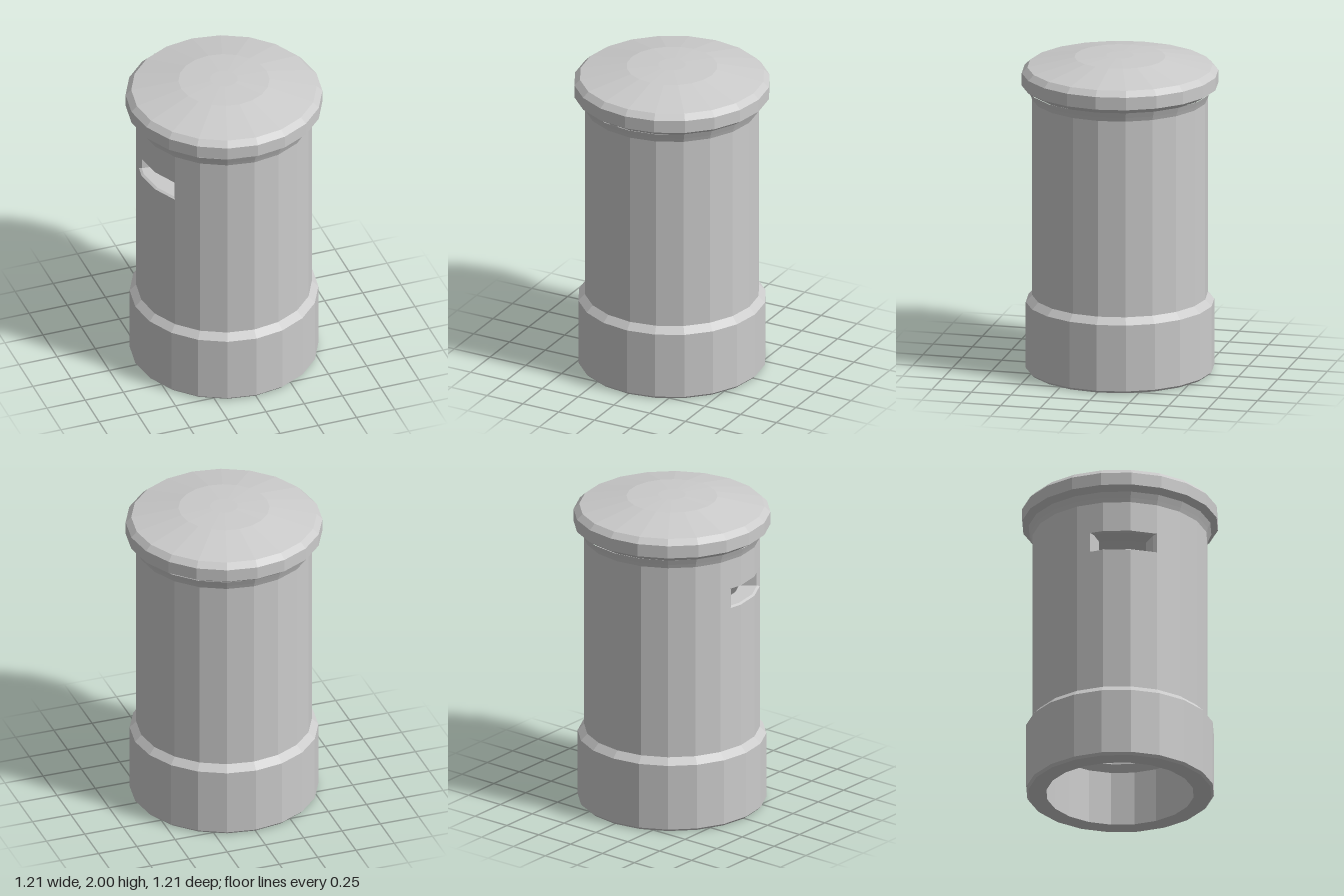
import * as THREE from 'three';

const SIDES = 20;
const STEP = 360 / SIDES;
const material = new THREE.MeshStandardMaterial({ color: 0xcccccc, flatShading: true });

// Point on the 20-sided section: the radius is measured at the corners, angle in degrees from +z towards +x
function facetPoint(r, y, deg) {
  const off = ((deg % STEP) + STEP) % STEP - STEP / 2;
  const k = r * Math.cos(THREE.MathUtils.degToRad(STEP / 2)) / Math.cos(THREE.MathUtils.degToRad(off));
  const a = THREE.MathUtils.degToRad(deg);
  return [k * Math.sin(a), y, k * Math.cos(a)];
}

// Start and end angles plus every facet corner between them
function stations(from, to) {
  const list = [from];
  for (let a = (Math.floor(from / STEP) + 1) * STEP; a < to; a += STEP) list.push(a);
  list.push(to);
  return list;
}

// Sweep (radius, y) profiles around the axis; closed profiles also get flat ends
function sweep(name, angles, profileAt, closed = false) {
  const rings = angles.map((a, i) => profileAt(i).map(([r, y]) => facetPoint(r, y, a)));
  const n = rings[0].length;
  const pos = [];
  const tri = (a, b, c) => pos.push(...a, ...b, ...c);
  for (let i = 0; i < rings.length - 1; i++) {
    for (let j = 0; j < (closed ? n : n - 1); j++) {
      const k = (j + 1) % n;
      const a = rings[i][j], b = rings[i + 1][j], c = rings[i + 1][k], d = rings[i][k];
      if (Math.hypot(a[0], a[2]) > 1e-6) tri(a, b, c);
      if (Math.hypot(c[0], c[2]) > 1e-6) tri(a, c, d);
    }
  }
  if (closed) {
    const first = rings[0], last = rings[rings.length - 1];
    for (let j = 1; j < n - 1; j++) {
      tri(first[0], first[j], first[j + 1]);
      tri(last[0], last[j + 1], last[j]);
    }
  }
  const geo = new THREE.BufferGeometry();
  geo.setAttribute('position', new THREE.Float32BufferAttribute(pos, 3));
  geo.computeVertexNormals();
  const mesh = new THREE.Mesh(geo, material);
  mesh.name = name;
  return mesh;
}

export function createModel() {
  const group = new THREE.Group();
  group.name = 'pillarBox';
  const full = stations(0, 360);
  const R = 0.54, IN = 0.415;      // shaft outer and inner radius
  const LOW = 1.39, HIGH = 1.55;   // band of the shaft that holds the slot
  const SLOT_A = 261, SLOT_B = 306; // slot opening, in degrees

  // Hollow base and lower shaft
  group.add(sweep('baseAndShaft', full, () => [
    [IN, LOW], [IN, 0.39], [0.455, 0.35], [0.455, 0], [0.565, 0],
    [0.58, 0.015], [0.58, 0.435], [R, 0.477], [R, LOW],
  ]));

  // Band beside the slot, its ends chamfered on the outside
  const around = [SLOT_B - 2, ...stations(SLOT_B, SLOT_A + 360), SLOT_A + 362];
  group.add(sweep('slotBand', around, (i) => {
    const r = i === 0 || i === around.length - 1 ? R - 0.017 : R;
    return [[r, LOW], [r, HIGH], [IN, HIGH], [IN, LOW]];
  }, true));

  // Chamfered sill and head of the slot
  const opening = stations(SLOT_A, SLOT_B);
  group.add(sweep('slotSill', opening, () => [
    [R, LOW], [R, 1.405], [R - 0.015, 1.413], [IN, 1.413], [IN, LOW],
  ], true));
  group.add(sweep('slotHead', opening, () => [
    [IN, HIGH], [IN, 1.524], [R - 0.015, 1.524], [R, 1.532], [R, HIGH],
  ], true));

  // Upper shaft with flared collar
  group.add(sweep('collar', full, () => [
    [R, HIGH], [R, 1.725], [0.55, 1.75], [0.565, 1.785],
  ]));

  // Domed cap
  group.add(sweep('cap', full, () => [
    [0.55, 1.78], [0.605, 1.815], [0.605, 1.895], [0.57, 1.93],
    [0.28, 1.99], [0.085, 2], [0, 2],
  ]));

  // Inside ceiling and upper inner wall
  group.add(sweep('innerCeiling', full, () => [
    [0, 1.88], [0.28, 1.87], [IN, 1.82], [IN, HIGH],
  ]));

  return group;
}
